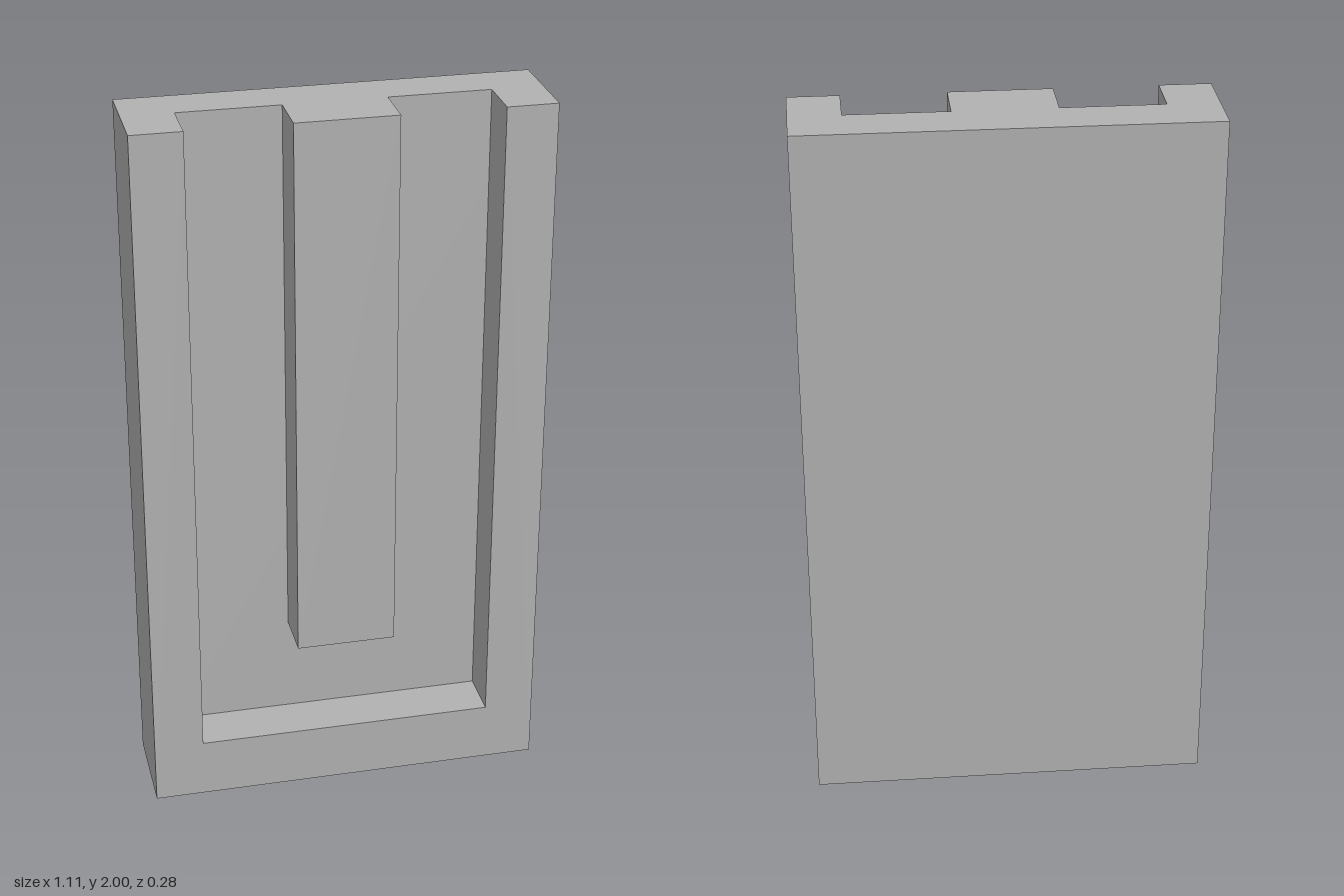
import * as THREE from 'three';

const HALF_W = 0.555, HALF_D = 0.1385, HEIGHT = 2;
const FLOOR_Z = 0.003; // front face of the back panel
const INNER_W = 0.416, SILL = 0.17; // recess inside the rim
const RIB_W = 0.1385, RIB_BOTTOM = 0.45;

export function createModel() {
  const group = new THREE.Group();
  group.name = 'groovedPanel';
  const grey = new THREE.MeshStandardMaterial({ color: 0xb2b2b2 });
  grey.name = 'plain grey';

  // Box given by its minimum and maximum corners
  const box = (name, x0, y0, z0, x1, y1, z1) => {
    const mesh = new THREE.Mesh(new THREE.BoxGeometry(x1 - x0, y1 - y0, z1 - z0), grey);
    mesh.position.set((x0 + x1) / 2, (y0 + y1) / 2, (z0 + z1) / 2);
    mesh.name = name;
    group.add(mesh);
  };

  // Full-size slab behind the recess
  box('backPanel', -HALF_W, 0, -HALF_D, HALF_W, HEIGHT, -FLOOR_Z);

  // U-shaped rim, open at the top
  const outline = [
    [-HALF_W, 0], [HALF_W, 0], [HALF_W, HEIGHT], [INNER_W, HEIGHT],
    [INNER_W, SILL], [-INNER_W, SILL], [-INNER_W, HEIGHT], [-HALF_W, HEIGHT],
  ].map(([x, y]) => new THREE.Vector2(x, y));
  const rim = new THREE.Mesh(
    new THREE.ExtrudeGeometry(new THREE.Shape(outline), { depth: HALF_D + FLOOR_Z, bevelEnabled: false }),
    grey,
  );
  rim.position.z = -FLOOR_Z;
  rim.name = 'rim';
  group.add(rim);

  // Raised rib running down the middle of the recess
  box('centreRib', -RIB_W, RIB_BOTTOM, -FLOOR_Z, RIB_W, HEIGHT, HALF_D);

  return group;
}
